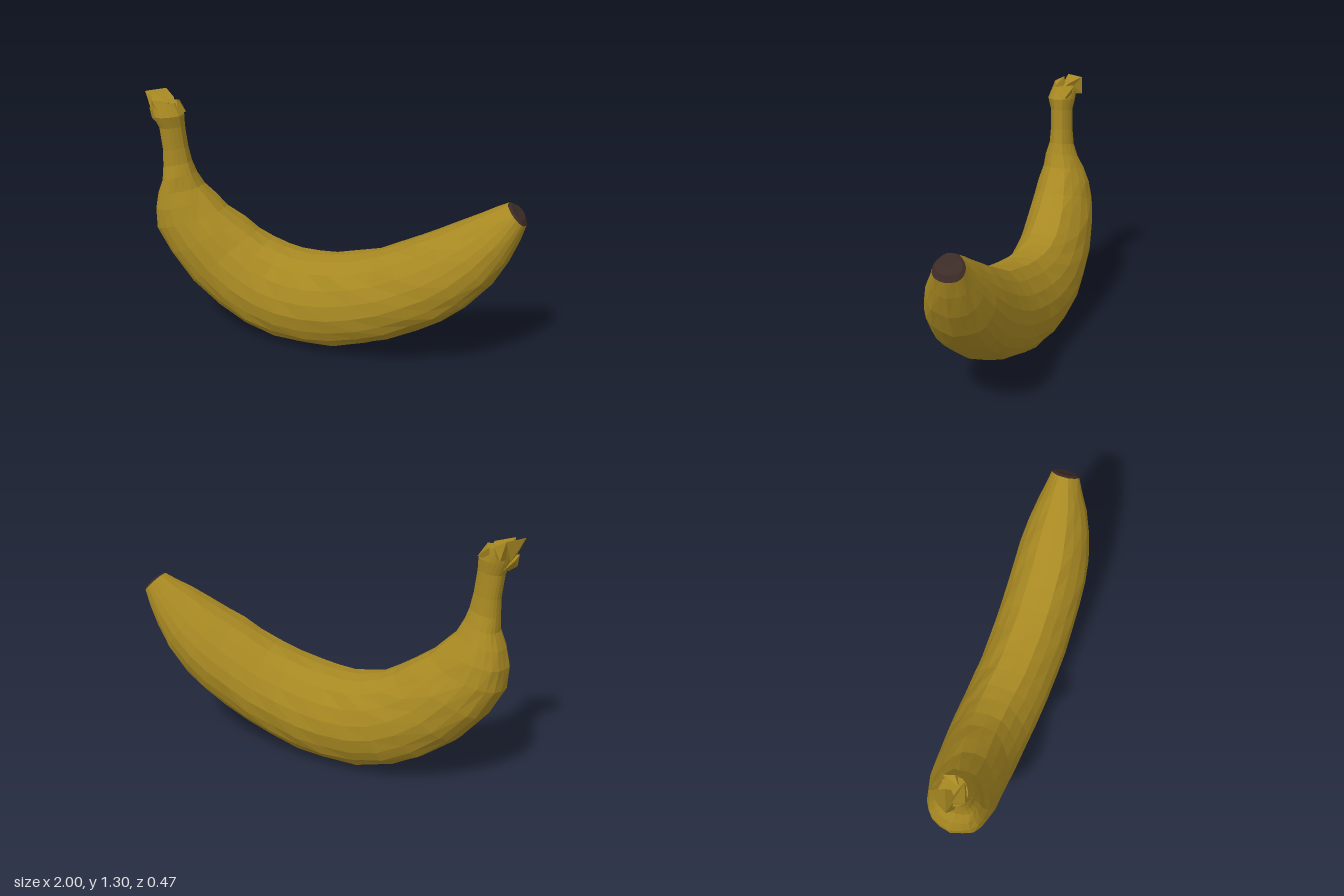
import * as THREE from 'three';
import { ConvexGeometry } from 'three/addons/geometries/ConvexGeometry.js';

// Half cross-section from the inner curve (u = 1) to the outer curve (u = -1):
// narrow flat inner face, sloping shoulders, full round belly with a low keel
const HALF = [
  [1, 0], [0.97, 0.36], [0.76, 0.6], [0.48, 0.82], [0.18, 0.96], [-0.12, 1],
  [-0.42, 0.95], [-0.64, 0.84], [-0.82, 0.65], [-0.93, 0.36], [-1, 0],
];
const PROFILE = [...HALF, ...HALF.slice(1, -1).reverse().map(([u, v]) => [u, -v])];
const SIDES = PROFILE.length;

// Skin rings given as [innerX, innerY, outerX, outerY, zMin, zMax]
function loft(rings, { wobble = 0, startCap = null, endCap = null } = {}) {
  const pos = [], idx = [];
  rings.forEach(([ix, iy, ox, oy, z0, z1], i) => {
    PROFILE.forEach(([u, v], j) => {
      // Slight dents, leaving the inner face, sides and keel in place
      const dent = j % 5 ? 0.5 + 0.5 * Math.sin(i * 2.7 + j * 4.3) : 0;
      const k = 1 - wobble * dent;
      pos.push(
        (ix + ox) / 2 + ((ix - ox) / 2) * u * k,
        (iy + oy) / 2 + ((iy - oy) / 2) * u * k,
        (z0 + z1) / 2 + ((z1 - z0) / 2) * v * k);
    });
  });
  for (let i = 0; i < rings.length - 1; i++) {
    for (let j = 0; j < SIDES; j++) {
      const a = i * SIDES + j, b = i * SIDES + (j + 1) % SIDES;
      idx.push(a, b, b + SIDES, a, b + SIDES, a + SIDES);
    }
  }
  const cap = (centre, base, flip) => {
    const c = pos.length / 3;
    pos.push(...centre);
    for (let j = 0; j < SIDES; j++) {
      const a = base + j, b = base + (j + 1) % SIDES;
      idx.push(c, flip ? b : a, flip ? a : b);
    }
  };
  if (startCap) cap(startCap, 0, true);
  if (endCap) cap(endCap, (rings.length - 1) * SIDES, false);
  const g = new THREE.BufferGeometry();
  g.setAttribute('position', new THREE.Float32BufferAttribute(pos, 3));
  g.setIndex(idx);
  const flat = g.toNonIndexed();
  flat.computeVertexNormals();
  return flat;
}

export function createModel() {
  const group = new THREE.Group();
  const yellow = new THREE.MeshStandardMaterial({ color: 0xa78822 });
  yellow.name = 'peel yellow';
  const brown = new THREE.MeshStandardMaterial({ color: 0x3c2b26 });
  brown.name = 'dried brown';
  const add = (name, geometry, material) => {
    const mesh = new THREE.Mesh(geometry, material);
    mesh.name = name;
    group.add(mesh);
  };

  // Stem running down into the neck, then the curved fruit
  const body = [
    [-0.83, 1.25, -0.96, 1.25, -0.06, 0.08],
    [-0.79, 1.19, -0.945, 1.18, -0.055, 0.10],
    [-0.79, 1.13, -0.92, 1.12, -0.045, 0.08],
    [-0.78, 1.02, -0.91, 1.00, -0.05, 0.075],
    [-0.765, 0.94, -0.915, 0.91, -0.06, 0.08],
    [-0.745, 0.88, -0.92, 0.84, -0.085, 0.10],
    [-0.71, 0.81, -0.955, 0.76, -0.125, 0.115],
    [-0.65, 0.75, -0.98, 0.67, -0.16, 0.135],
    [-0.59, 0.69, -0.975, 0.56, -0.185, 0.15],
    [-0.50, 0.63, -0.90, 0.415, -0.215, 0.16],
    [-0.42, 0.575, -0.77, 0.26, -0.23, 0.165],
    [-0.34, 0.535, -0.61, 0.135, -0.237, 0.175],
    [-0.25, 0.51, -0.45, 0.05, -0.237, 0.185],
    [-0.17, 0.50, -0.27, 0.005, -0.23, 0.20],
    [-0.07, 0.50, -0.08, 0.0, -0.215, 0.215],
    [0.03, 0.515, 0.08, 0.015, -0.205, 0.225],
    [0.15, 0.54, 0.24, 0.065, -0.195, 0.235],
    [0.27, 0.575, 0.38, 0.115, -0.19, 0.235],
    [0.38, 0.625, 0.52, 0.19, -0.185, 0.235],
    [0.48, 0.675, 0.64, 0.255, -0.182, 0.23],
    [0.57, 0.72, 0.75, 0.35, -0.178, 0.215],
    [0.67, 0.77, 0.86, 0.475, -0.16, 0.18],
    [0.77, 0.825, 0.93, 0.60, -0.135, 0.135],
    [0.85, 0.865, 0.975, 0.71, -0.11, 0.085],
    [0.905, 0.893, 1.0, 0.795, -0.095, 0.055],
  ];
  const neck = 5;
  add('stem', loft(body.slice(0, neck + 1), { startCap: [-0.89, 1.25, 0.01] }), yellow);
  add('fruit', loft(body.slice(neck), { wobble: 0.025 }), yellow);

  // Dried blossom end
  const [ix, iy, ox, oy, z0, z1] = body[body.length - 1];
  add('blossomEnd', loft([
    [ix, iy, ox, oy, z0, z1],
    [ix + 0.018, iy - 0.005, ox - 0.012, oy + 0.03, z0 + 0.012, z1 - 0.012],
  ], { endCap: [0.955, 0.85, -0.02] }), brown);

  // Torn crown flaps on top of the stem
  const flap = (name, points) =>
    add(name, new ConvexGeometry(points.map(p => new THREE.Vector3(...p))), yellow);
  flap('crownFlapOuter', [
    [-1.0, 1.30, 0.02], [-0.93, 1.30, -0.08], [-0.96, 1.21, 0.04],
    [-0.95, 1.20, -0.05], [-0.88, 1.22, 0.04], [-0.90, 1.27, -0.02],
  ]);
  flap('crownFlapBack', [
    [-0.93, 1.30, -0.08], [-0.91, 1.21, -0.09], [-0.86, 1.22, -0.03],
    [-0.93, 1.20, -0.03], [-0.87, 1.26, -0.05],
  ]);
  flap('crownFlapFront', [
    [-0.93, 1.27, 0.08], [-0.95, 1.295, 0.03], [-0.85, 1.26, 0.05], [-0.88, 1.19, 0.095],
    [-0.83, 1.21, 0.03], [-0.91, 1.20, 0.0], [-0.95, 1.20, 0.05],
  ]);
  flap('crownFlapInner', [
    [-0.83, 1.265, 0.0], [-0.79, 1.20, -0.02], [-0.80, 1.19, 0.05],
    [-0.87, 1.25, 0.03], [-0.86, 1.19, -0.04], [-0.84, 1.25, -0.05],
  ]);
  // Ragged lip hanging under the outer flap
  flap('crownLip', [
    [-0.975, 1.215, 0.03], [-0.97, 1.16, 0.02], [-0.93, 1.13, 0.03],
    [-0.92, 1.20, 0.05], [-0.965, 1.20, -0.03], [-0.92, 1.15, -0.03],
  ]);

  return group;
}
